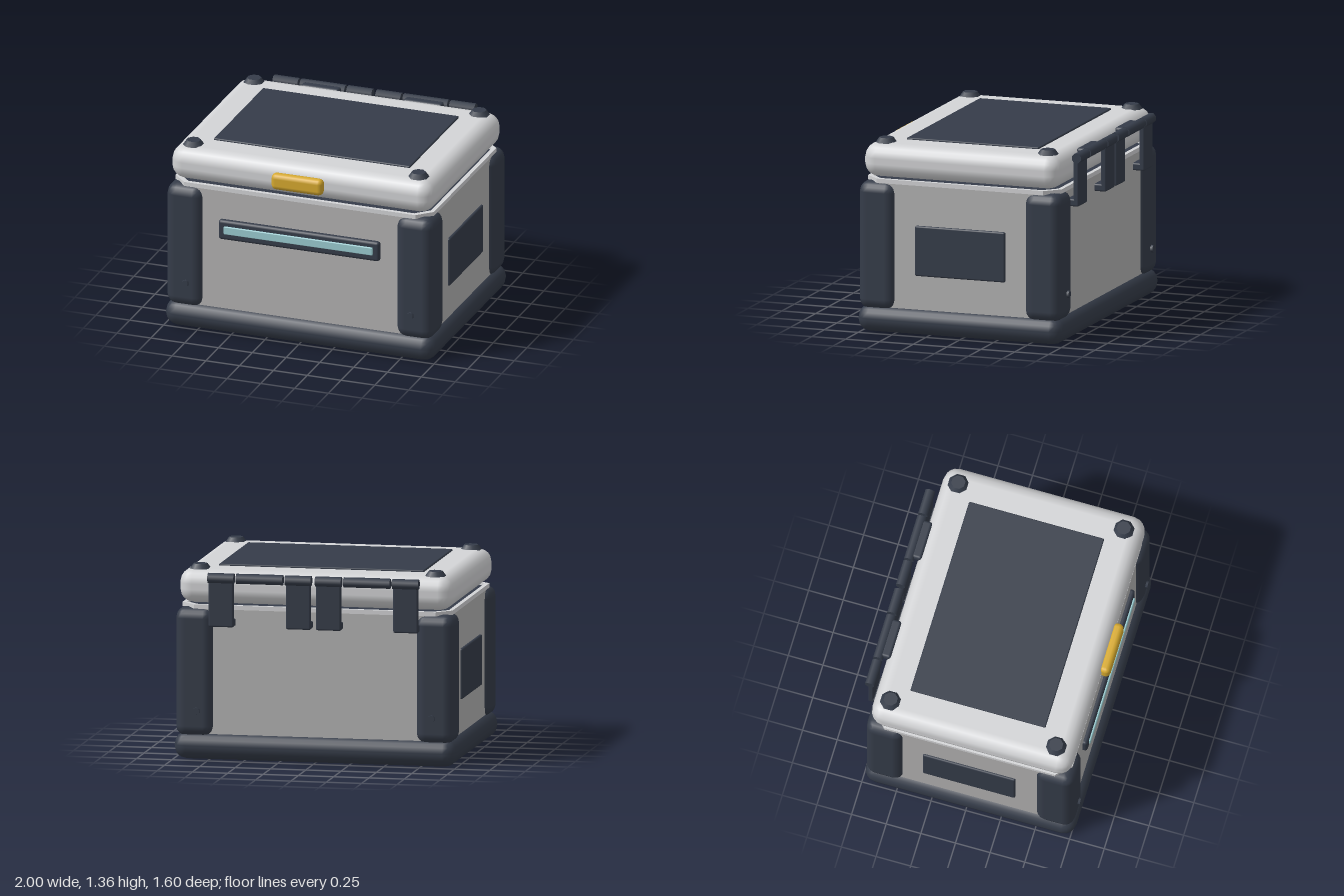
import * as THREE from 'three';
import { RoundedBoxGeometry } from 'three/addons/geometries/RoundedBoxGeometry.js';

const mat = (name, color, flatShading = false) => {
  const m = new THREE.MeshStandardMaterial({ color });
  m.name = name;
  m.flatShading = flatShading;
  return m;
};

export function createModel() {
  const lidGrey = mat('light grey shell', 0xd3d4d6);
  const bodyGrey = mat('grey body', 0xb3b2b2);
  const dark = mat('dark slate trim', 0x353c49);
  const gold = mat('gold latch', 0xd6a92e);
  const teal = mat('pale teal light', 0x9accd1);

  const model = new THREE.Group();
  model.name = 'equipmentCase';
  const ZC = 0.015; // case shell sits slightly forward of the hinges

  const add = (name, geometry, material, x = 0, y = 0, z = 0) => {
    const mesh = new THREE.Mesh(geometry, material);
    mesh.name = name;
    mesh.position.set(x, y, z);
    model.add(mesh);
    return mesh;
  };
  // Rounded box given by its extents
  const box = (name, material, [x0, x1], [y0, y1], [z0, z1], r, seg = 2) =>
    add(name, new RoundedBoxGeometry(x1 - x0, y1 - y0, z1 - z0, seg, r), material,
      (x0 + x1) / 2, (y0 + y1) / 2, (z0 + z1) / 2);

  // Rectangle with cut corners, as a list of points
  const outline = (w, d, c) => [
    [-w + c, -d], [w - c, -d], [w, -d + c], [w, d - c],
    [w - c, d], [-w + c, d], [-w, d - c], [-w, -d + c],
  ].map(([x, y]) => new THREE.Vector2(x, y));
  const slab = (shape, h) =>
    new THREE.ExtrudeGeometry(shape, { depth: h, bevelEnabled: false }).rotateX(-Math.PI / 2);

  // Base and main body
  box('base', dark, [-1, 1], [0, 0.19], [-0.745, 0.775], 0.09);
  add('body', slab(new THREE.Shape(outline(0.95, 0.71, 0.1)), 0.95), bodyGrey, 0, 0.11, ZC);

  // Raised rim with a dark seal inside it
  const rim = new THREE.Shape(outline(0.955, 0.715, 0.1));
  rim.holes.push(new THREE.Path(outline(0.925, 0.685, 0.09).reverse()));
  add('rim', slab(rim, 0.03), lidGrey, 0, 1.057, ZC);
  add('seal', slab(new THREE.Shape(outline(0.925, 0.685, 0.09)), 0.012), dark, 0, 1.058, ZC);

  // Lid with inset panel
  box('lid', lidGrey, [-0.97, 0.97], [1.09, 1.33], [-0.71, 0.74], 0.1, 2);
  box('lidPanel', dark, [-0.725, 0.725], [1.31, 1.342], [-0.48, 0.495], 0.008, 1);

  for (const sx of [-1, 1]) {
    for (const sz of [-1, 1]) {
      // Corner guards, each with a bolt
      add('cornerGuard', new RoundedBoxGeometry(0.275, 0.905, 0.275, 2, 0.075), dark,
        sx * 0.85, 0.6125, ZC + sz * 0.6125);
      const bolt = add('bolt', new THREE.CylinderGeometry(0.026, 0.028, 0.03, 6), dark,
        sx * 0.832, 0.345, ZC + sz * 0.751);
      bolt.rotation.x = sz * Math.PI / 2;

      // Stacking studs on the lid
      const stud = add('stud', new THREE.CylinderGeometry(0.05, 0.075, 0.035, 8), dark,
        sx * 0.832, 1.3425, 0.007 + sz * 0.597);
      stud.rotation.y = Math.PI / 8;
    }
    // Side panel
    add('sidePanel', new RoundedBoxGeometry(0.03, 0.355, 0.665, 2, 0.012), dark,
      sx * 0.952, 0.5975, 0.0125);
  }

  // Front light strip in its frame
  box('lightFrame', dark, [-0.595, 0.595], [0.705, 0.85], [0.70, 0.757], 0.02);
  box('lightBar', teal, [-0.55, 0.55], [0.752, 0.81], [0.73, 0.769], 0.006, 1);

  // Latch
  box('latch', gold, [-0.192, 0.188], [1.15, 1.268], [0.725, 0.8], 0.034);

  // Two hinges, each with a lid knuckle between two body knuckles
  const knuckle = (x, w) => {
    const m = add('hingeKnuckle', new THREE.CylinderGeometry(0.036, 0.036, w, 8)
      .rotateY(Math.PI / 8).rotateZ(Math.PI / 2), dark, x, 1.287, -0.766);
    return m;
  };
  for (const hx of [-0.385, 0.375]) {
    knuckle(hx, 0.33);
    box('lidTab', dark, [hx - 0.143, hx + 0.143], [1.255, 1.313], [-0.755, -0.68], 0.02);
    for (const s of [-1, 1]) {
      const x = hx + s * 0.273;
      knuckle(x, 0.185);
      box('hingePlate', dark, [x - 0.088, x + 0.088], [0.945, 1.29], [-0.78, -0.74], 0.012);
      box('hingeFoot', dark, [x - 0.088, x + 0.088], [0.945, 0.998], [-0.775, -0.68], 0.012);
    }
  }

  return model;
}
